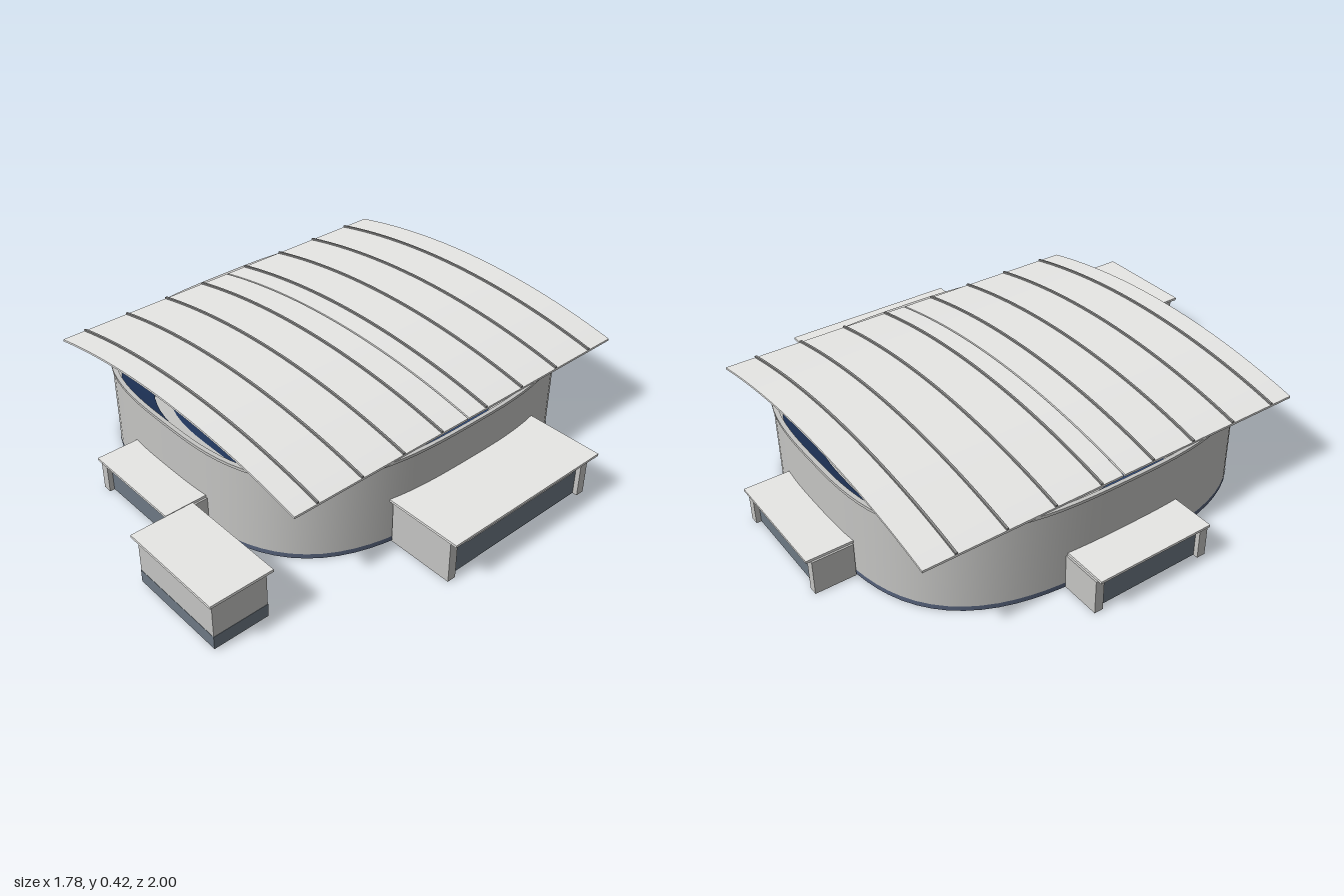
import * as THREE from 'three';
import { mergeVertices, toCreasedNormals } from 'three/addons/utils/BufferGeometryUtils.js';

const CX = -0.06, CZ = -0.081; // centre of the arena
const HX = 0.677, HZ = 0.759; // half width and half depth of the outer wall

const mat = (name, color, side = THREE.FrontSide) => {
  const m = new THREE.MeshStandardMaterial({ color, side });
  m.name = name;
  return m;
};

// Rounded-rectangle outline (cubic superellipse), scaled by s
function outline(s, n = 96) {
  const pts = [];
  for (let i = 0; i < n; i++) {
    const a = (i / n) * Math.PI * 2, c = Math.cos(a), d = Math.sin(a);
    const r = s / Math.cbrt(Math.abs(c) ** 3 + Math.abs(d) ** 3);
    pts.push([CX + HX * r * c, CZ + HZ * r * d]);
  }
  return pts;
}

// Skin through outlines; each profile entry is [scale, height]
function loft(profile) {
  const n = 96, pos = [], idx = [];
  for (const [s, y] of profile) for (const [x, z] of outline(s, n)) pos.push(x, y, z);
  for (let k = 0; k < profile.length - 1; k++) {
    for (let i = 0; i < n; i++) {
      const a = k * n + i, b = k * n + (i + 1) % n;
      idx.push(a, a + n, b, b, a + n, b + n);
    }
  }
  const g = new THREE.BufferGeometry();
  g.setAttribute('position', new THREE.Float32BufferAttribute(pos, 3));
  g.setIndex(idx);
  return toCreasedNormals(mergeVertices(g), 0.5);
}

// Arched strip across x, from z0 to z1, between two offsets above the arch
function arch(z0, z1, low, high) {
  const half = 0.66, rise = 0.073, base = 0.331, n = 28;
  const R = (half * half + rise * rise) / (2 * rise);
  const y = (x) => base + rise - R + Math.sqrt(R * R - x * x);
  const pts = [];
  for (let i = 0; i <= n; i++) {
    const x = -half + (2 * half * i) / n;
    pts.push(new THREE.Vector2(CX + x, y(x) + low));
  }
  for (let i = n; i >= 0; i--) {
    const x = -half + (2 * half * i) / n;
    pts.push(new THREE.Vector2(CX + x, y(x) + high));
  }
  const g = new THREE.ExtrudeGeometry(new THREE.Shape(pts), { depth: z1 - z0, bevelEnabled: false });
  g.translate(0, 0, z0);
  return toCreasedNormals(g, 0.5);
}

export function createModel() {
  const model = new THREE.Group();
  model.name = 'arena';

  const concrete = mat('concrete', 0xc4c4c2);
  const shell = mat('wall concrete', 0xc4c4c2, THREE.DoubleSide);
  const roofMat = mat('roof metal', 0xe8e8e6);
  const ribMat = mat('rib metal', 0x8a8a89);
  const glass = mat('slate glass', 0x6d7883);
  const seats = mat('seat blue', 0x2c4777, THREE.DoubleSide);
  const baseMat = mat('base slate', 0x55617a);
  const floorMat = mat('floor grey', 0x8c8e8e, THREE.DoubleSide);
  const turf = mat('field green', 0x70a588);
  const white = mat('sign white', 0xdcdedf);

  const add = (name, geo, material, parent = model) => {
    const m = new THREE.Mesh(geo, material);
    m.name = name;
    parent.add(m);
    return m;
  };
  // Box given by its minimum and maximum corners
  const box = (name, x0, x1, y0, y1, z0, z1, material, parent) => {
    const g = new THREE.BoxGeometry(x1 - x0, y1 - y0, z1 - z0);
    g.translate((x0 + x1) / 2, (y0 + y1) / 2, (z0 + z1) / 2);
    return add(name, g, material, parent);
  };

  // Outer wall, lip and base strip
  add('outerWall', loft([[1, 0], [1, 0.322]]), shell);
  add('wallLip', loft([[0.985, 0.322], [1.006, 0.322], [1.006, 0.333], [0.985, 0.333], [0.985, 0.322]]), shell);
  add('baseStrip', loft([[1.002, 0], [1.002, 0.018]]), baseMat);

  // Seating bowl: two blue tiers separated by pale rings
  add('fieldBarrier', loft([[0.55, 0.012], [0.55, 0.034], [0.575, 0.034]]), shell);
  add('lowerTier', loft([[0.575, 0.034], [0.76, 0.13]]), seats);
  add('concourse', loft([[0.76, 0.13], [0.83, 0.13], [0.83, 0.16]]), shell);
  add('upperTier', loft([[0.83, 0.16], [0.965, 0.26]]), seats);
  add('upperWalkway', loft([[0.965, 0.26], [0.998, 0.26]]), shell);

  // Arena floor, reaching under the front rows, and playing field
  const floor = new THREE.ShapeGeometry(new THREE.Shape(outline(0.6).map(([x, z]) => new THREE.Vector2(x, -z))));
  floor.rotateX(-Math.PI / 2);
  floor.translate(0, 0.012, 0);
  add('arenaFloor', floor, floorMat);
  box('playingField', CX - 0.31, CX + 0.31, 0.008, 0.016, CZ - 0.2, CZ + 0.2, turf);
  for (const x of [CX - 0.3, CX, CX + 0.3]) {
    box('fieldLine', x - 0.006, x + 0.006, 0.016, 0.018, CZ - 0.195, CZ + 0.195, white);
  }

  // Two arched roof halves with a narrow slot between them
  add('backRoof', arch(-0.838, -0.089, 0, 0.008), roofMat);
  add('frontRoof', arch(-0.083, 0.668, 0, 0.008), roofMat);
  for (const z of [-0.72, -0.538, -0.355, -0.175, 0.038, 0.212, 0.392, 0.575]) {
    add('roofRib', arch(z - 0.004, z + 0.004, 0.007, 0.015), ribMat);
  }

  // Entrance pavilion facing +z: width w, depth d, height h; the canopy overhangs by sideways and forward
  const pavilion = (name, { w, d, h, x, z, turn, sideways = -0.007, forward = 0.016 }) => {
    const g = new THREE.Group();
    g.name = name;
    const wing = 0.033, e = w / 2, front = d - forward;
    for (const s of [-1, 1]) {
      const a = s * e, b = s * (e - wing);
      box('sideWall', Math.min(a, b), Math.max(a, b), 0, h - 0.009, 0.013, front, concrete, g);
    }
    box('glassFront', wing - e, e - wing, 0.001, h - 0.009, 0.03, front - 0.018, glass, g);
    box('canopy', -e - sideways, e + sideways, h - 0.009, h, 0, d, roofMat, g);
    g.position.set(x, 0, z);
    g.rotation.y = turn;
    model.add(g);
    return g;
  };
  pavilion('frontEntrance', { w: 0.42, d: 0.175, h: 0.14, x: CX, z: 0.657, turn: 0 });
  pavilion('backEntrance', { w: 0.46, d: 0.178, h: 0.14, x: CX, z: -0.822, turn: Math.PI });
  pavilion('rightEntrance', { w: 0.47, d: 0.178, h: 0.14, x: -0.717, z: -0.085, turn: -Math.PI / 2 });
  const main = pavilion('mainEntrance', {
    w: 0.68, d: 0.302, h: 0.18, x: 0.588, z: -0.085, turn: Math.PI / 2, sideways: 0.01, forward: 0.032,
  });
  // Blank sign above the main doors
  box('sign', -0.265, 0.255, 0.127, 0.152, 0.25, 0.274, white, main);

  // Detached ticket building
  const kiosk = new THREE.Group();
  kiosk.name = 'ticketBuilding';
  box('body', 0.22, 0.6, 0.005, 0.19, 0.78, 0.985, concrete, kiosk);
  box('glassBand', 0.219, 0.601, 0.008, 0.056, 0.779, 0.986, glass, kiosk);
  box('flatRoof', 0.205, 0.615, 0.19, 0.2, 0.764, 1, roofMat, kiosk);
  model.add(kiosk);

  return model;
}
